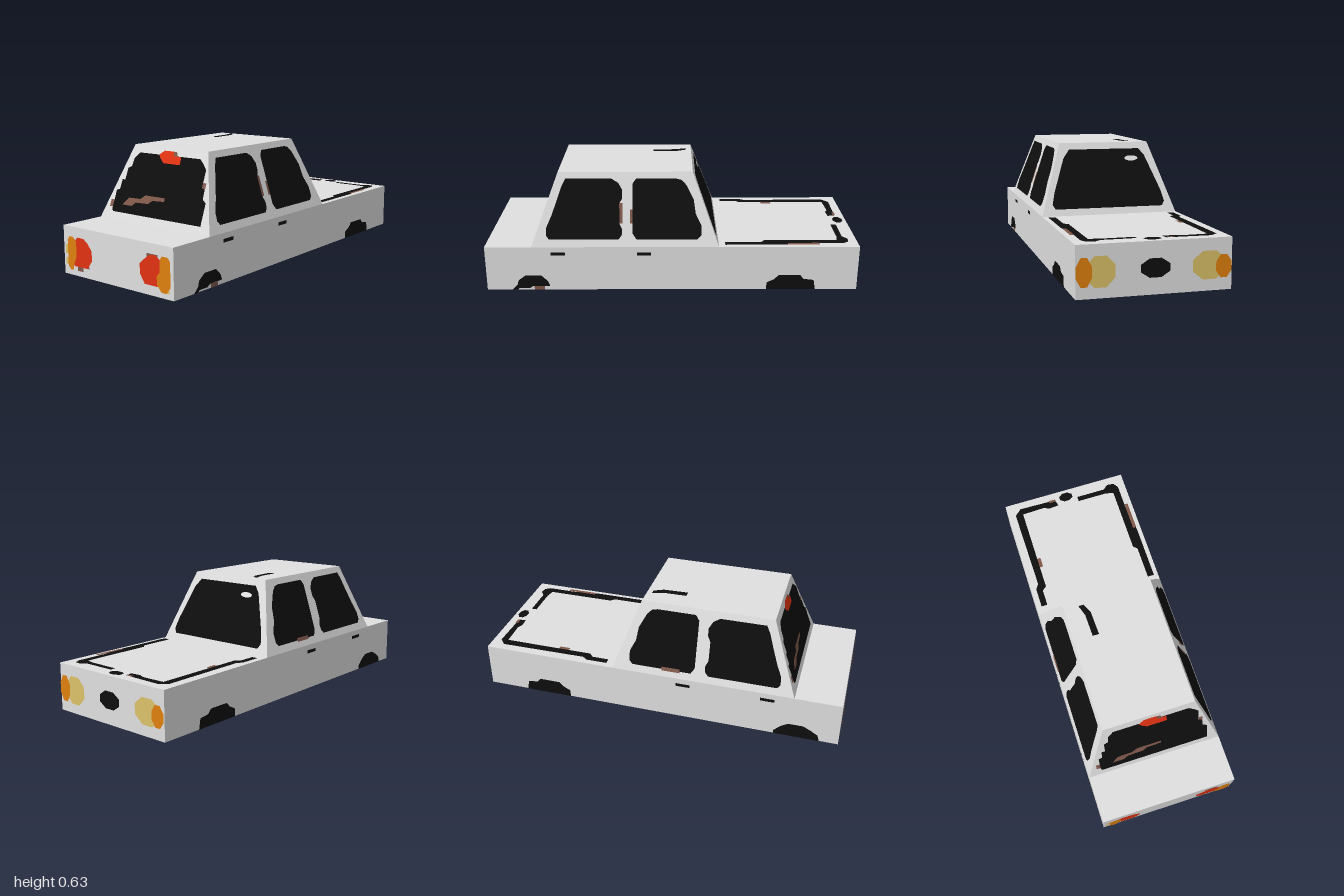
import * as THREE from 'three';

const paint = (name, color, side = THREE.FrontSide) => new THREE.MeshStandardMaterial({ name, color, side });

export function createModel() {
  const car = new THREE.Group();
  car.name = 'car';
  const body = paint('body grey', 0xe0e0e0);
  const black = paint('black', 0x0e0e0e);
  const red = paint('lamp red', 0xe23212);
  const orange = paint('lamp orange', 0xe0800e);
  const yellow = paint('lamp yellow', 0xdcc26a);
  const brown = paint('brown', 0x80584a);
  const white = paint('white', 0xfafafa);

  const add = (name, geo, mat) => {
    const mesh = new THREE.Mesh(geo, mat);
    mesh.name = name;
    car.add(mesh);
    return mesh;
  };

  // Lower body
  add('lowerBody', new THREE.BoxGeometry(0.75, 0.25, 2).translate(0, 0.125, 0), body);

  // Cabin: a box whose four sides lean inwards
  const slope = (y, low, high) => low + (high - low) * (y - 0.25) / 0.38;
  const cabin = new THREE.BoxGeometry(2, 0.38, 2).translate(0, 0.44, 0);
  const p = cabin.attributes.position;
  for (let i = 0; i < p.count; i++) {
    const y = p.getY(i);
    p.setX(i, p.getX(i) * slope(y, 0.375, 0.25));
    p.setZ(i, p.getZ(i) > 0 ? slope(y, 0.75, 0.605) : slope(y, -0.25, -0.11));
  }
  cabin.computeVertexNormals();
  add('cabin', cabin, body);

  // Surfaces that carry flat painted plates: [map (u, v, lift) to a point, reversed winding]
  const faces = {
    front: [(x, y, d) => [x, y, 1 + d], false],
    back: [(x, y, d) => [x, y, -1 - d], true],
    left: [(z, y, d) => [0.375 + d, y, z], true],
    right: [(z, y, d) => [-0.375 - d, y, z], false],
    frontGlass: [(x, y, d) => [x, y, slope(y, 0.75, 0.605) + d], false],
    backGlass: [(x, y, d) => [x, y, slope(y, -0.25, -0.11) - d], true],
    leftGlass: [(z, y, d) => [slope(y, 0.375, 0.25) + d, y, z], true],
    rightGlass: [(z, y, d) => [-slope(y, 0.375, 0.25) - d, y, z], false],
    deck: [(x, z, d) => [x, 0.25 + d, z], true],
    roof: [(x, z, d) => [x, 0.63 + d, z], true],
  };

  // Flat plate from a list of [u, v] corners
  const plate = (name, face, mat, pts, layer = 1) => {
    const [map, reversed] = faces[face];
    const geo = new THREE.ShapeGeometry(new THREE.Shape(pts.map(q => new THREE.Vector2(...q))));
    const pos = geo.attributes.position;
    for (let i = 0; i < pos.count; i++) pos.setXYZ(i, ...map(pos.getX(i), pos.getY(i), 0.002 * layer));
    if (reversed) geo.index.array.reverse();
    geo.computeVertexNormals();
    return add(name, geo, mat);
  };
  const rect = (a, b, c, d) => [[a, c], [b, c], [b, d], [a, d]];
  // Box with clipped corners
  const blob = (a, b, c, d, k = 0.3) => {
    const u = (b - a) * k, v = (d - c) * k;
    return [[a + u, c], [b - u, c], [b, c + v], [b, d - v], [b - u, d], [a + u, d], [a, d - v], [a, c + v]];
  };

  // Front window with its lamp and streak
  plate('frontWindow', 'frontGlass', black, [
    [-0.295, 0.288], [0.308, 0.288], [0.308, 0.395], [0.285, 0.41], [0.283, 0.455], [0.264, 0.465],
    [0.264, 0.545], [0.24, 0.57], [0.212, 0.592], [-0.2, 0.592], [-0.23, 0.56], [-0.235, 0.52],
    [-0.258, 0.51], [-0.26, 0.45], [-0.28, 0.45], [-0.282, 0.4], [-0.303, 0.395], [-0.303, 0.3]]);
  plate('windowLamp', 'frontGlass', red, [
    [-0.045, 0.572], [-0.02, 0.553], [0.09, 0.553], [0.09, 0.59], [0.065, 0.592], [0.035, 0.614],
    [-0.03, 0.614], [-0.062, 0.592]], 2);
  plate('windowLampEdge', 'frontGlass', brown, [[0.04, 0.592], [0.068, 0.592], [0.055, 0.614], [0.036, 0.614]], 3);
  plate('windowStreak', 'frontGlass', brown, [
    [-0.235, 0.328], [-0.17, 0.328], [-0.145, 0.347], [-0.06, 0.35], [-0.035, 0.368], [0.045, 0.372],
    [0.045, 0.389], [-0.09, 0.389], [-0.12, 0.368], [-0.2, 0.366]], 2);
  plate('windowEdge', 'frontGlass', brown, rect(-0.325, -0.303, 0.31, 0.345));
  plate('windowEdge', 'frontGlass', brown, rect(0.265, 0.285, 0.457, 0.485));

  // Back window with a white mark
  plate('backWindow', 'backGlass', black, [
    [-0.3, 0.285], [0.3, 0.285], [0.315, 0.31], [0.3, 0.37], [0.235, 0.55], [0.2, 0.595],
    [-0.195, 0.595], [-0.225, 0.56], [-0.3, 0.37], [-0.315, 0.31]]);
  plate('backWindowMark', 'backGlass', white, blob(-0.185, -0.11, 0.53, 0.557), 2);

  for (const side of ['left', 'right']) {
    // Side windows
    plate('frontSideWindow', side + 'Glass', black, [
      [0.655, 0.29], [0.285, 0.29], [0.268, 0.31], [0.265, 0.34], [0.28, 0.37], [0.28, 0.47], [0.264, 0.5],
      [0.264, 0.54], [0.285, 0.575], [0.32, 0.596], [0.565, 0.597], [0.585, 0.56], [0.61, 0.49],
      [0.64, 0.41], [0.668, 0.35], [0.67, 0.31]]);
    plate('rearSideWindow', side + 'Glass', black, [
      [0.19, 0.29], [-0.135, 0.29], [-0.155, 0.31], [-0.155, 0.36], [-0.125, 0.42], [-0.115, 0.49],
      [-0.075, 0.565], [-0.05, 0.59], [-0.02, 0.597], [0.19, 0.597], [0.21, 0.57], [0.21, 0.32]]);
    // Door handles
    for (const z of [0.61, 0.15]) plate('doorHandle', side, black, rect(z - 0.038, z + 0.038, 0.203, 0.221));
    // Rear wheel
    plate('rearWheel', side, black, [
      [-0.51, 0], [-0.51, 0.04], [-0.55, 0.06], [-0.575, 0.085], [-0.69, 0.085], [-0.71, 0.062],
      [-0.765, 0.055], [-0.775, 0]]);
  }
  // Front wheels and the brown marks along the sides
  plate('leftFrontWheel', 'left', black, [
    [0.865, 0], [0.835, 0.03], [0.83, 0.055], [0.79, 0.085], [0.705, 0.085], [0.67, 0.05], [0.66, 0.022],
    [0.75, 0.022], [0.77, 0.01], [0.825, 0.01], [0.835, 0]]);
  plate('wheelMark', 'left', brown, [[0.745, 0], [0.69, 0], [0.69, 0.021], [0.745, 0.021]]);
  plate('rightFrontWheel', 'right', black, [
    [0.9, 0], [0.89, 0.035], [0.85, 0.06], [0.81, 0.08], [0.73, 0.08], [0.69, 0.055], [0.655, 0.02], [0.655, 0]]);
  plate('pillarMark', 'leftGlass', brown, rect(0.263, 0.281, 0.37, 0.475));
  plate('pillarMark', 'leftGlass', brown, rect(0.208, 0.224, 0.37, 0.44));
  plate('windowSillMark', 'rightGlass', brown, rect(0.03, 0.13, 0.283, 0.303), 2);

  // Front lamps
  plate('frontRedLamp', 'front', red, [
    [-0.3, 0.05], [-0.2, 0.05], [-0.166, 0.095], [-0.166, 0.145], [-0.195, 0.18], [-0.225, 0.2],
    [-0.27, 0.2], [-0.3, 0.17]], 2);
  plate('frontRedLamp', 'front', red, [
    [0.195, 0.05], [0.28, 0.05], [0.295, 0.075], [0.295, 0.18], [0.26, 0.2], [0.22, 0.19],
    [0.165, 0.145], [0.165, 0.095]], 2);
  plate('frontOrangeLamp', 'front', orange, [
    [-0.32, 0.028], [-0.3, 0.03], [-0.298, 0.06], [-0.277, 0.1], [-0.277, 0.18], [-0.3, 0.2],
    [-0.325, 0.2], [-0.34, 0.18], [-0.34, 0.045]], 3);
  plate('frontOrangeLamp', 'front', orange, [
    [0.305, 0.028], [0.335, 0.028], [0.36, 0.06], [0.36, 0.18], [0.345, 0.2], [0.308, 0.2],
    [0.295, 0.18], [0.295, 0.125], [0.275, 0.1], [0.275, 0.06]], 3);
  plate('lampGlow', 'front', yellow, rect(-0.361, -0.335, 0.107, 0.156));
  plate('lampGlow', 'front', yellow, rect(-0.361, -0.335, 0.052, 0.086));
  plate('lampGlow', 'front', yellow, rect(0.32, 0.35, 0.028, 0.045));
  for (const [a, b, c, d] of [[-0.275, -0.235, 0.028, 0.06], [-0.21, -0.19, 0.05, 0.07],
    [0.21, 0.28, 0.18, 0.2], [0.19, 0.21, 0.05, 0.07], [0.255, 0.275, 0.05, 0.07]])
    plate('lampEdge', 'front', brown, rect(a, b, c, d));

  // Back lamps and badge plate
  plate('backYellowLamp', 'back', yellow, blob(0.19, 0.33, 0.05, 0.195));
  plate('backYellowLamp', 'back', yellow, blob(-0.345, -0.18, 0.055, 0.19));
  plate('backOrangeLamp', 'back', orange, blob(0.3, 0.374, 0.055, 0.19), 2);
  plate('backOrangeLamp', 'back', orange, blob(-0.372, -0.295, 0.06, 0.17), 2);
  plate('backOval', 'back', black, blob(-0.07, 0.07, 0.08, 0.17));

  // Lines on the rear deck
  plate('deckLineRight', 'deck', black, [
    [-0.33, -0.92], [-0.29, -0.955], [-0.07, -0.95], [-0.06, -0.91], [-0.12, -0.905], [-0.15, -0.92],
    [-0.285, -0.915], [-0.285, -0.41], [-0.31, -0.39], [-0.31, -0.295], [-0.345, -0.295],
    [-0.345, -0.41], [-0.325, -0.44]]);
  plate('deckLineLeft', 'deck', black, [
    [0.068, -0.93], [0.24, -0.93], [0.27, -0.955], [0.31, -0.95], [0.33, -0.92], [0.33, -0.75], [0.35, -0.6],
    [0.35, -0.285], [0.312, -0.285], [0.312, -0.48], [0.29, -0.5], [0.29, -0.89], [0.24, -0.9], [0.068, -0.9]]);
  plate('deckDot', 'deck', black, blob(-0.04, 0.04, -0.98, -0.925));
  plate('deckMark', 'deck', brown, rect(0.33, 0.35, -0.79, -0.62), 2);
  plate('deckMark', 'deck', brown, rect(-0.285, -0.265, -0.6, -0.54));
  plate('deckMark', 'deck', brown, rect(-0.11, -0.07, -0.955, -0.94), 2);

  // Short stroke on the roof
  plate('roofStroke', 'roof', black, [
    [-0.168, -0.08], [-0.14, -0.08], [-0.115, -0.03], [-0.11, 0.105], [-0.145, 0.105], [-0.148, -0.02]]);
  return car;
}
